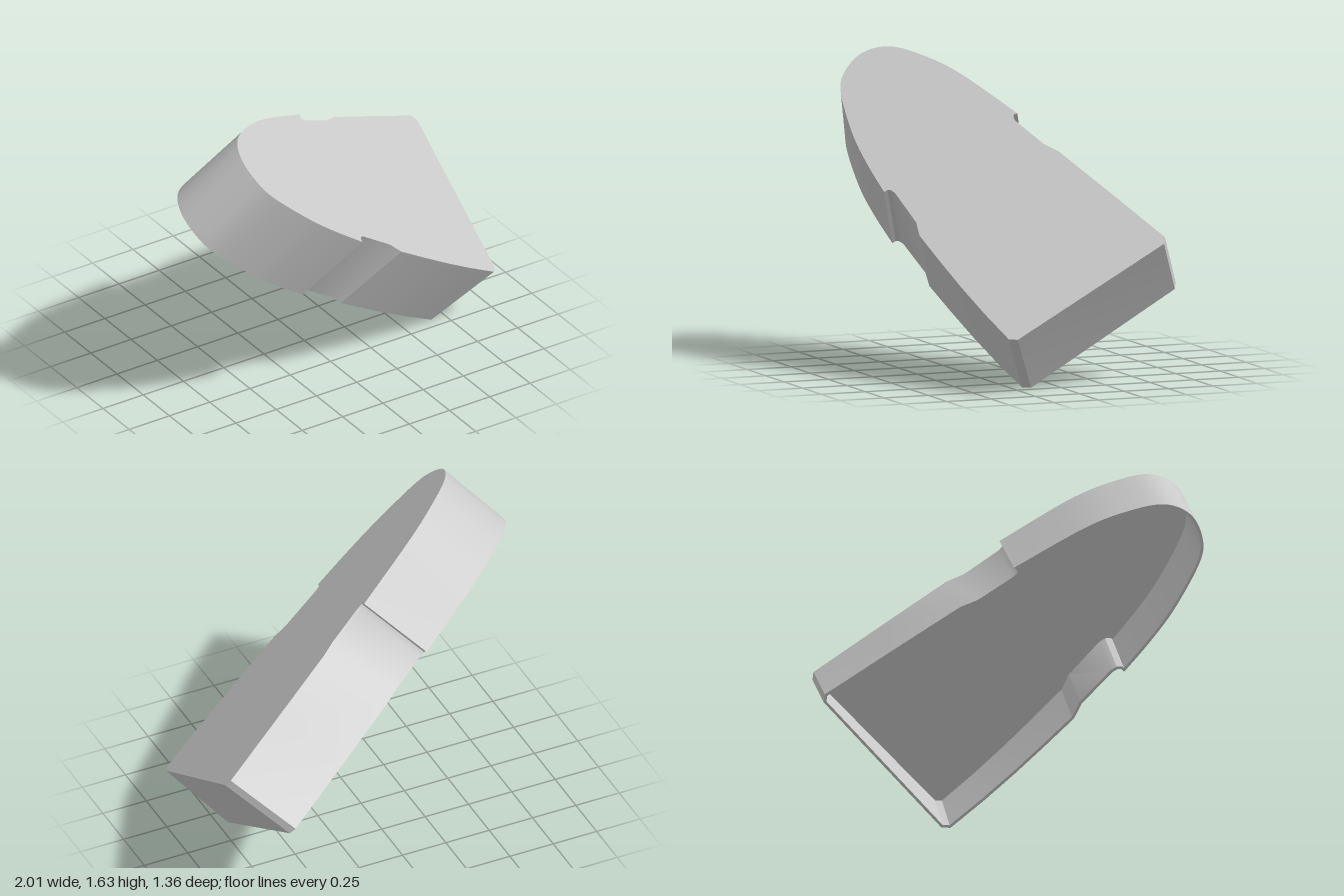
import * as THREE from 'three';
import { toCreasedNormals } from 'three/addons/utils/BufferGeometryUtils.js';

const WALL = 0.014;
const DEPTH = 0.441;

// outline in the plane of the front plate: x runs from the flat end to the rounded tip
const lowerSide = [
  [-0.013, 0.464], [0.022, 0.497], [0.25, 0.492], [0.465, 0.48], [0.68, 0.462], [0.893, 0.441],
  [0.975, 0.403], [1.205, 0.371], [1.235, 0.375], [1.251, 0.388],
];
const tipPoints = [
  [1.252, 0.409], [1.472, 0.364], [1.68, 0.304], [1.936, 0.19], [2.03, 0.0905],
  [2.059, -0.047], [1.989, -0.1746], [1.817, -0.268], [1.585, -0.34], [1.17, -0.405],
];
const upperSide = [
  [1.177, -0.387], [1.168, -0.373], [1.136, -0.3685], [0.915, -0.388], [0.819, -0.417],
  [0.4, -0.457], [-0.022, -0.495], [-0.0535, -0.4655],
];

const toVectors = (list) => list.map(([x, y]) => new THREE.Vector2(x, y));

function makeOutline() {
  const tip = new THREE.SplineCurve(toVectors(tipPoints)).getPoints(72);
  return [...toVectors(lowerSide), ...tip, ...toVectors(upperSide)];
}

// move every point inward along its mitred normal
function inset(points, distance) {
  const n = points.length;
  const normal = (a, b) => new THREE.Vector2(b.y - a.y, a.x - b.x).normalize();
  return points.map((p, i) => {
    const n1 = normal(points[(i + n - 1) % n], p);
    const n2 = normal(p, points[(i + 1) % n]);
    const mitre = n1.clone().add(n2).normalize();
    return p.clone().addScaledVector(mitre, distance / Math.max(0.6, mitre.dot(n1)));
  });
}

// the wall leans and turns slightly towards its open back
function lean(geometry) {
  const pos = geometry.attributes.position;
  for (let i = 0; i < pos.count; i++) {
    const x = pos.getX(i), y = pos.getY(i), k = 1 - pos.getZ(i) / DEPTH;
    pos.setXY(i, x + k * (0.028 - 0.025 * y), y + k * 0.025 * x);
  }
}

export function createModel() {
  const group = new THREE.Group();
  group.name = 'hollowCover';
  const grey = new THREE.MeshStandardMaterial({ color: 0xcacaca });
  grey.name = 'light grey';

  // tilted frame: along the body, across it, and out through the front plate
  const along = new THREE.Vector3(-0.8155, 0.4987, 0.293);
  const across = new THREE.Vector3(-0.0134, -0.5235, 0.8536);
  const outward = new THREE.Vector3(0.578, 0.691, 0.433);
  const origin = new THREE.Vector3(0.96, 0.5515, -0.058).addScaledVector(outward, -DEPTH);
  const frame = new THREE.Matrix4().makeBasis(along, across, outward).setPosition(origin);

  function addPart(name, shape, from, to) {
    const raw = new THREE.ExtrudeGeometry(shape, { depth: to - from, bevelEnabled: false });
    raw.translate(0, 0, from);
    lean(raw);
    raw.applyMatrix4(frame);
    const mesh = new THREE.Mesh(toCreasedNormals(raw, 0.3), grey);
    mesh.name = name;
    group.add(mesh);
  }

  // thin side wall, open at the back; the hole runs the opposite way round
  const outline = makeOutline();
  const ring = new THREE.Shape(outline);
  ring.holes.push(new THREE.Path(inset(outline, WALL).reverse()));
  addPart('sideWall', ring, 0, DEPTH - WALL);

  // flat front plate closing the wall
  addPart('frontPlate', new THREE.Shape(outline), DEPTH - WALL, DEPTH);

  return group;
}
